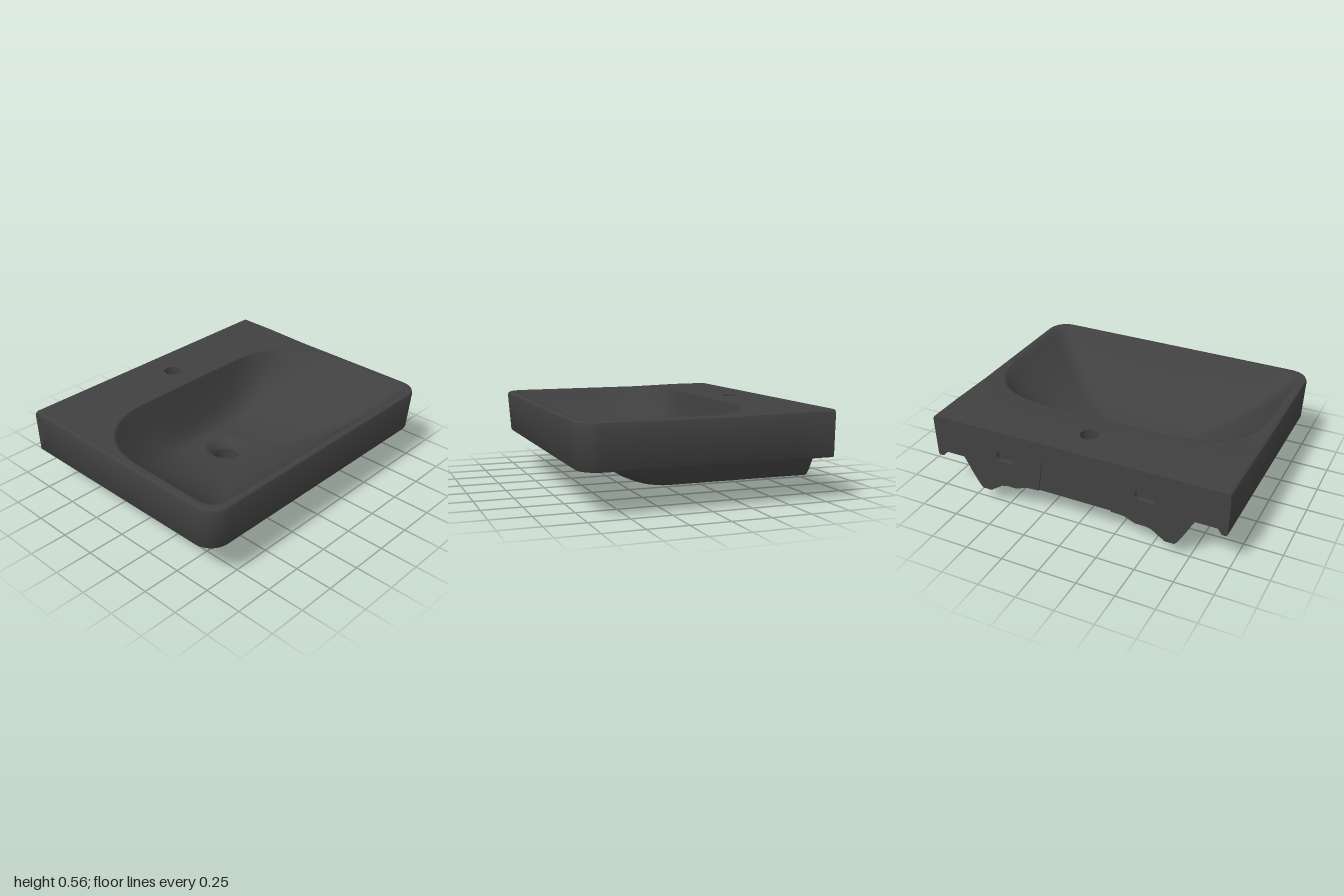
import * as THREE from 'three';
import { toCreasedNormals } from 'three/addons/utils/BufferGeometryUtils.js';

const BACK = -0.8, DRAIN_Z = -0.065, LIP = 0.985;
const V = (x, y, z) => new THREE.Vector3(x, y, z);
// the deck climbs very slightly towards the wall
const raise = z => 0.008 * THREE.MathUtils.clamp((-z - 0.22) / 0.33, 0, 1);

// Skin a list of equally long rows of points
function skin(rows, closed = false, flip = false) {
  const n = rows[0].length, index = [];
  for (let i = 0; i < rows.length - 1; i++) {
    for (let j = 0; j < (closed ? n : n - 1); j++) {
      const k = (j + 1) % n;
      const a = i * n + j, b = i * n + k, c = a + n, d = b + n;
      if (flip) index.push(a, c, b, b, c, d);
      else index.push(a, b, c, b, d, c);
    }
  }
  const g = new THREE.BufferGeometry().setFromPoints(rows.flat());
  g.setIndex(index);
  g.computeVertexNormals();
  return g;
}

// U-shaped outline, open at the back, with rounded front corners
function uLoop(w, front, r, y) {
  const half = [BACK, -0.55, -0.22].map(z => V(w, y, z));
  for (let i = 0; i <= 12; i++) {
    const a = i / 12 * Math.PI / 2;
    half.push(V(w - r + r * Math.cos(a), y, front - r + r * Math.sin(a)));
  }
  const all = half.concat(half.slice().reverse().map(p => V(-p.x, p.y, p.z)));
  if (y > 0.5) all.forEach(p => { p.y += raise(p.z); });
  return all;
}

// Opening of the bowl: wide curves at the back, tight corners at the front
function bowlOutline() {
  const s = new THREE.Shape();
  s.moveTo(0, -0.38);
  s.lineTo(0.42, -0.38);
  s.bezierCurveTo(0.75, -0.38, 0.95, -0.2, 0.95, 0.15);
  s.lineTo(0.955, 0.65);
  s.quadraticCurveTo(0.955, 0.76, 0.84, 0.765);
  s.lineTo(-0.84, 0.765);
  s.quadraticCurveTo(-0.955, 0.76, -0.955, 0.65);
  s.lineTo(-0.95, 0.15);
  s.bezierCurveTo(-0.95, -0.2, -0.75, -0.38, -0.42, -0.38);
  s.lineTo(0, -0.38);
  return s.getSpacedPoints(160).slice(0, 160);
}

// Bowl rows from a flat lip to a circle round the drain, steepest at the back
function bowlRows(rim, radius, drop) {
  const rows = [];
  for (let i = 0; i <= 25; i++) {
    const s = i === 0 ? 1 : LIP * (1 - (i - 1) / 24);
    rows.push(rim.map(p => {
      const dx = p.x, dz = p.y - DRAIN_Z, len = Math.hypot(dx, dz);
      const q = radius + (len - radius) * s;
      const power = 2.2 + 1.8 * THREE.MathUtils.smoothstep(-dz / len, 0, 0.9);
      const h = 0.15 + (0.4 + raise(p.y)) * Math.pow(Math.min(s / LIP, 1), power) - drop;
      return V(dx / len * q, h, DRAIN_Z + dz / len * q);
    }));
  }
  return rows;
}

const circleRow = (rim, r, y) => rim.map(p => {
  const a = Math.atan2(p.y - DRAIN_Z, p.x);
  return V(r * Math.cos(a), y, DRAIN_Z + r * Math.sin(a));
});

// Half-round channel swept between a line in the bowl's shell and an outer line
function channel(shell, outer, width) {
  const a = new THREE.CatmullRomCurve3(shell), b = new THREE.CatmullRomCurve3(outer), rows = [];
  for (let i = 0; i <= 24; i++) {
    const p = a.getPoint(i / 24), q = b.getPoint(i / 24), row = [];
    for (let j = 0; j <= 16; j++) {
      const t = j / 16 * Math.PI;
      const v = p.clone().lerp(q, Math.sin(t));
      v.x = -width * Math.cos(t);
      row.push(v);
    }
    rows.push(row);
  }
  return skin(rows, false, true);
}

export function createModel() {
  const group = new THREE.Group();
  const ceramic = new THREE.MeshStandardMaterial({ color: 0x404040, side: THREE.DoubleSide });
  ceramic.name = 'dark grey ceramic';
  const add = (name, geometry) => {
    const m = new THREE.Mesh(geometry, ceramic);
    m.name = name;
    group.add(m);
    return m;
  };
  const rim = bowlOutline();

  // Outer wall, under-rim groove and lower skirt in one sweep
  const levels = [
    [0.972, 0.777, 0.115, 0.55], [0.98, 0.785, 0.12, 0.549], [0.992, 0.795, 0.13, 0.543],
    [0.998, 0.8, 0.135, 0.528],
    [0.99, 0.782, 0.135, 0.277], [0.983, 0.775, 0.13, 0.268], [0.955, 0.745, 0.11, 0.268],
    [0.93, 0.72, 0.1, 0.305], [0.79, 0.6, 0.1, 0.305], [0.77, 0.585, 0.1, 0.27],
    [0.74, 0.505, 0.12, 0.213], [0.705, 0.4, 0.14, 0.153], [0.68, 0.32, 0.16, 0.116],
    [0.665, 0.28, 0.16, 0.102], [0.6, 0.22, 0.36, 0.102],
  ];
  const sweep = levels.map(l => uLoop(...l));
  // inner edge of the skirt meets the bowl, higher towards the back
  const inner = uLoop(0.56, 0.18, 0.37, 0.14);
  inner.forEach(p => { p.y += 0.2 * Math.max(0, -p.z); });
  add('outerWallAndSkirt', toCreasedNormals(skin([...sweep, inner]), 0.7));

  // Deck with bowl opening and tap hole
  const deckShape = new THREE.Shape(sweep[0].map(p => new THREE.Vector2(p.x, p.z)));
  deckShape.holes.push(new THREE.Path(rim));
  deckShape.holes.push(new THREE.Path().absarc(0, -0.58, 0.058, 0, Math.PI * 2, true));
  const deck = new THREE.ShapeGeometry(deckShape, 32);
  deck.rotateX(Math.PI / 2);
  const pos = deck.attributes.position;
  for (let i = 0; i < pos.count; i++) pos.setY(i, 0.55 + raise(pos.getZ(i)));
  deck.index.array.reverse();
  deck.computeVertexNormals();
  add('deck', deck);
  add('tapHole', new THREE.CylinderGeometry(0.058, 0.058, 0.06, 32, 1, true))
    .position.set(0, 0.527, -0.58);

  // Bowl inside with the dip at the drain, and its underside
  add('bowl', skin([...bowlRows(rim, 0.14, 0),
    circleRow(rim, 0.115, 0.138), circleRow(rim, 0.092, 0.115), circleRow(rim, 0.078, 0.09)], true, true));
  add('bowlUnderside', skin([...bowlRows(rim, 0.16, 0.042), circleRow(rim, 0.115, 0.1)], true));

  // Drain outlet
  const profile = [[0.078, 0.09], [0.078, 0], [0.108, 0], [0.115, 0.008], [0.12, 0.12]]
    .map(p => new THREE.Vector2(...p));
  add('drainOutlet', toCreasedNormals(new THREE.LatheGeometry(profile, 40), 0.8))
    .position.z = DRAIN_Z;

  // Overflow channel down the back of the bowl to the outlet
  const shellLine = [[0.5, -0.405], [0.4, -0.376], [0.25, -0.345], [0.145, -0.285], [0.118, -0.22], [0.1, -0.16]];
  const outerLine = [[0.5, -0.48], [0.4, -0.465], [0.25, -0.425], [0.105, -0.335], [0.048, -0.245], [0.025, -0.16]];
  const toPath = line => line.map(([y, z]) => V(0, y, z));
  add('overflowChannel', channel(toPath(shellLine), toPath(outerLine), 0.1));

  // Back wall: wavy lower edge, notch for the panel, two fixing slots
  const wall = new THREE.Shape();
  const side = [[0.972, 0.558], [0.992, 0.551], [0.998, 0.536], [0.99, 0.277], [0.983, 0.268], [0.955, 0.268],
    [0.93, 0.305], [0.79, 0.305], [0.77, 0.27], [0.705, 0.153], [0.68, 0.116], [0.665, 0.102],
    [0.61, 0.102], [0.57, 0.125], [0.52, 0.16], [0.48, 0.17], [0.41, 0.17], [0.34, 0.2],
    [0.25, 0.205], [0.215, 0.42], [0.205, 0.44], [0.18, 0.45]];
  const left = side.slice().reverse().map(([x, y]) => [-x, y]);
  wall.setFromPoints([...side, ...left].map(p => new THREE.Vector2(...p)));
  for (const s of [-1, 1]) {
    const slot = new THREE.Path();
    slot.absarc(s * 0.475 + 0.035, 0.38, 0.033, -Math.PI / 2, Math.PI / 2, false);
    slot.absarc(s * 0.475 - 0.035, 0.38, 0.033, Math.PI / 2, Math.PI * 1.5, false);
    wall.holes.push(slot);
    add('slotFloor', new THREE.BoxGeometry(0.16, 0.08, 0.01)).position.set(s * 0.475, 0.38, BACK + 0.04);
  }
  const slab = { depth: 0.06, bevelEnabled: false, curveSegments: 10 };
  add('backWall', new THREE.ExtrudeGeometry(wall, slab)).position.z = BACK;

  // Shallow recessed panel in the middle of the back wall
  const panel = new THREE.Shape([[0.25, 0.205], [0.215, 0.42], [0.205, 0.44], [0.18, 0.45],
    [-0.18, 0.45], [-0.205, 0.44], [-0.215, 0.42], [-0.25, 0.205]].map(p => new THREE.Vector2(...p)));
  add('backPanel', new THREE.ExtrudeGeometry(panel, { ...slab, depth: 0.05 })).position.z = BACK + 0.01;

  return group;
}
